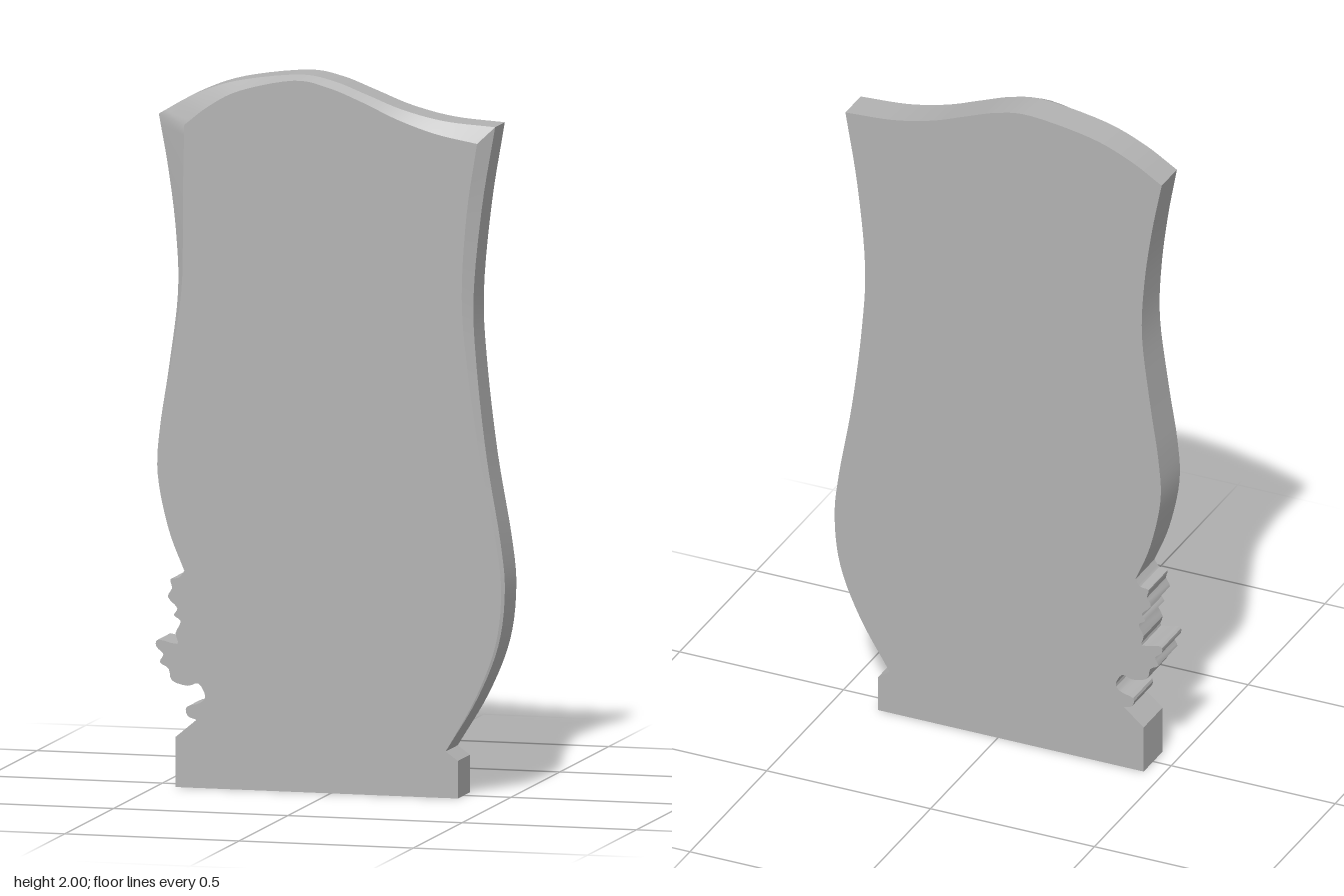
import * as THREE from 'three';
import { mergeGeometries, toCreasedNormals } from 'three/addons/utils/BufferGeometryUtils.js';

const FRONT = 0.062, BACK = -0.062;

// Each row: outer x, y, bevel inner x, y, bevel depth (anticlockwise from lower right)
const rightEdge = [
  [0.33, 0.13, 0.33, 0.13, 0], [0.42, 0.28, 0.416, 0.282, 0.002],
  [0.48, 0.43, 0.473, 0.432, 0.004], [0.498, 0.58, 0.489, 0.58, 0.006],
  [0.485, 0.72, 0.474, 0.72, 0.008], [0.445, 0.95, 0.429, 0.95, 0.011],
  [0.415, 1.2, 0.392, 1.2, 0.015], [0.405, 1.4, 0.376, 1.4, 0.018],
  [0.428, 1.65, 0.39, 1.63, 0.022], [0.465, 1.875, 0.42, 1.83, 0.025],
];
const topEdge = [
  [0.465, 1.875, 0.42, 1.83, 0.025], [0.32, 1.886, 0.3, 1.853, 0.025],
  [0.2, 1.913, 0.19, 1.889, 0.025], [0.1, 1.95, 0.095, 1.931, 0.025],
  [0, 1.986, -0.005, 1.969, 0.025], [-0.1, 2, -0.105, 1.986, 0.025],
  [-0.28, 1.975, -0.26, 1.952, 0.025], [-0.4, 1.932, -0.35, 1.905, 0.025],
  [-0.5, 1.875, -0.42, 1.85, 0.025],
];
const leftEdge = [
  [-0.5, 1.875, -0.42, 1.85, 0.025], [-0.47, 1.72, -0.423, 1.7, 0.018],
  [-0.447, 1.55, -0.424, 1.54, 0.012], [-0.44, 1.38, -0.429, 1.38, 0.007],
  [-0.465, 1.17, -0.46, 1.17, 0.003], [-0.49, 1.0, -0.49, 1.0, 0],
  [-0.496, 0.87, -0.496, 0.87, 0], [-0.465, 0.72, -0.465, 0.72, 0],
  [-0.42, 0.605, -0.42, 0.605, 0],
];
// Carved ragged notch at lower left
const carved = [
  [-0.42, 0.605], [-0.435, 0.585], [-0.46, 0.58], [-0.455, 0.555], [-0.467, 0.53],
  [-0.44, 0.5], [-0.45, 0.48], [-0.43, 0.463], [-0.445, 0.43], [-0.44, 0.4],
  [-0.495, 0.41], [-0.5, 0.39], [-0.48, 0.37], [-0.49, 0.347], [-0.465, 0.33],
  [-0.455, 0.297], [-0.41, 0.284], [-0.38, 0.292], [-0.36, 0.258], [-0.375, 0.237],
  [-0.413, 0.225], [-0.41, 0.2], [-0.385, 0.19],
].map(([x, y]) => [x, y, x, y, 0]);

// Paired outer and inner curves sampled at the same parameter
function sample(rows, n) {
  const outer = new THREE.CatmullRomCurve3(
    rows.map(r => new THREE.Vector3(r[0], r[1], FRONT - r[4])), false, 'catmullrom');
  const inner = new THREE.CatmullRomCurve3(
    rows.map(r => new THREE.Vector3(r[2], r[3], FRONT)), false, 'catmullrom');
  const out = [];
  for (let i = 0; i < n; i++) out.push({ o: outer.getPoint(i / n), i: inner.getPoint(i / n) });
  return out;
}
function corner(x, y) {
  const p = new THREE.Vector3(x, y, FRONT);
  return { o: p, i: p.clone() };
}

function fromTriangles(points) {
  const g = new THREE.BufferGeometry().setFromPoints(points);
  g.computeVertexNormals();
  return toCreasedNormals(g, 0.45);
}

export function createModel() {
  const ring = [
    corner(0.365, 0), corner(0.365, 0.105),
    ...sample(rightEdge, 45), ...sample(topEdge, 40), ...sample(leftEdge, 40),
    ...sample(carved, 66),
    corner(-0.385, 0.19), corner(-0.445, 0.14), corner(-0.445, 0),
  ];
  const walls = [], bevel = [], front = [], back = [];
  const atBack = p => new THREE.Vector3(p.x, p.y, BACK);

  // Side walls and tapered front bevel
  ring.forEach((p, k) => {
    const q = ring[(k + 1) % ring.length];
    const pb = atBack(p.o), qb = atBack(q.o);
    walls.push(pb, qb, q.o, pb, q.o, p.o);
    if (q.o.distanceTo(q.i) > 1e-4) bevel.push(p.o, q.o, q.i);
    if (p.o.distanceTo(p.i) > 1e-4) bevel.push(p.o, q.i, p.i);
  });

  // Flat front and back faces
  const flat = key => ring.map(p => new THREE.Vector2(p[key].x, p[key].y));
  for (const [a, b, c] of THREE.ShapeUtils.triangulateShape(flat('i'), []))
    front.push(ring[a].i, ring[b].i, ring[c].i);
  for (const [a, b, c] of THREE.ShapeUtils.triangulateShape(flat('o'), []))
    back.push(atBack(ring[a].o), atBack(ring[c].o), atBack(ring[b].o));

  const stone = new THREE.MeshStandardMaterial({ color: 0xb2b2b2 });
  stone.name = 'grey stone';
  const slab = new THREE.Mesh(
    mergeGeometries([walls, bevel, front, back].map(fromTriangles)), stone);
  slab.name = 'stoneSlab';

  const group = new THREE.Group();
  group.name = 'headstone';
  group.add(slab);
  return group;
}
